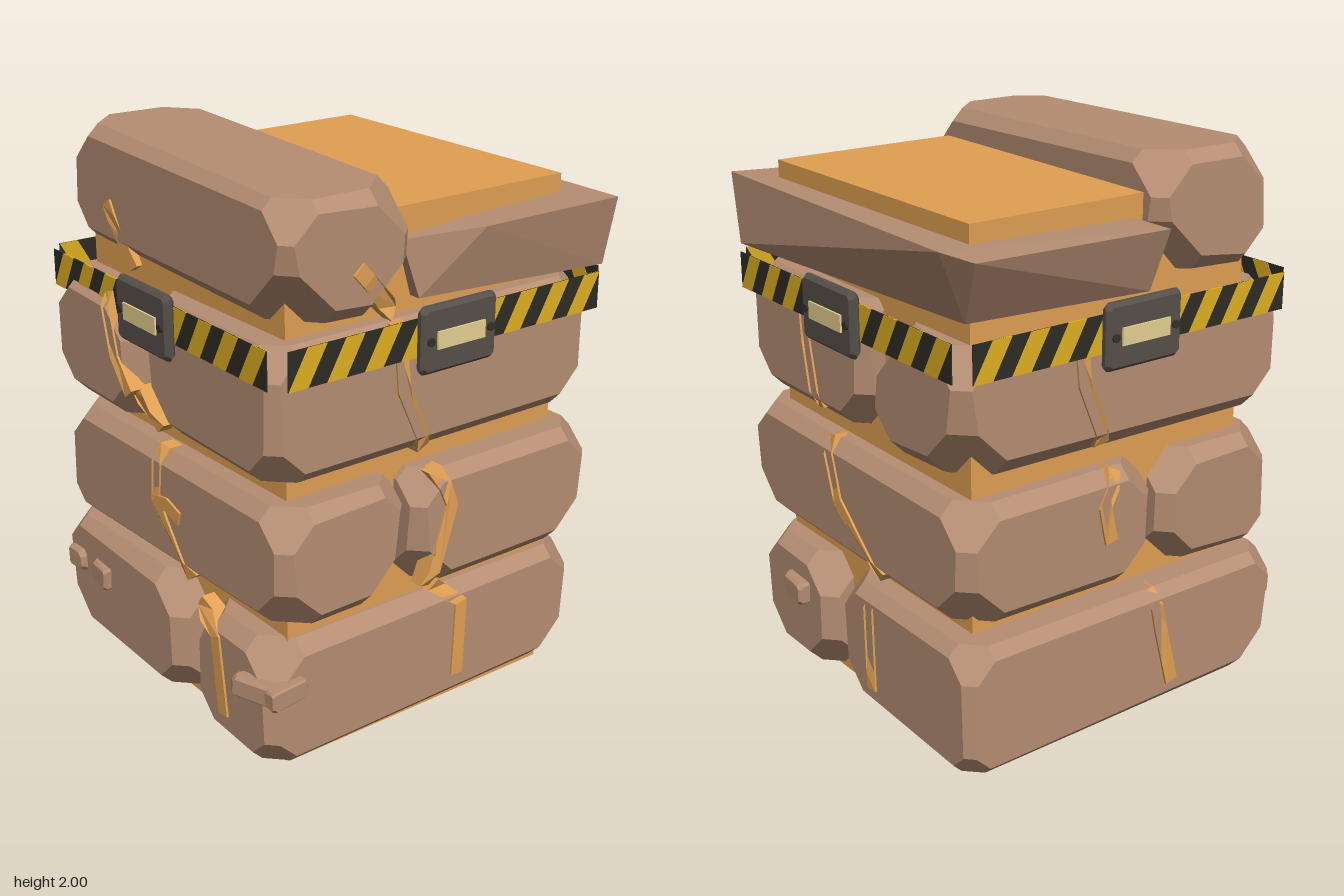
import * as THREE from 'three';
import { ConvexGeometry } from 'three/addons/geometries/ConvexGeometry.js';

const material = (name, color) => {
  const m = new THREE.MeshStandardMaterial({ color });
  m.name = name;
  return m;
};
const V = (x, y, z) => new THREE.Vector3(x, y, z);
// Heights where the brick courses begin and end
const COURSE_EDGES = [0.03, 0.49, 0.545, 0.975, 1.05, 1.5, 1.575];

export function createModel() {
  const model = new THREE.Group();
  model.name = 'brickPillar';
  const clay = material('clay brick', 0xb68e73);
  const mortar = material('ochre mortar', 0xe1a053);
  const yellow = material('warning yellow', 0xe0b022);
  const black = material('warning black', 0x2e2c25);
  const metal = material('dark metal', 0x57504a);
  const bolt = material('bolt metal', 0x35312d);
  const cream = material('cream label', 0xe6d192);

  let seed = 7;
  const rand = () => (seed = (seed * 16807) % 2147483647) / 2147483647;

  const add = (parent, name, geometry, mat, x = 0, y = 0, z = 0) => {
    const mesh = new THREE.Mesh(geometry, mat);
    mesh.name = name;
    mesh.position.set(x, y, z);
    parent.add(mesh);
    return mesh;
  };

  // Box with bevelled edges (c) and cut-off corners (k), each corner slightly different
  const chipped = (w, h, d, c, k, vary = 0) => {
    const pts = [];
    for (const sx of [-1, 1]) for (const sy of [-1, 1]) for (const sz of [-1, 1]) {
      const f = 1 + (rand() - 0.5) * vary;
      for (const [a, b, e] of [[0, c, k], [0, k, c], [c, 0, k], [k, 0, c], [c, k, 0], [k, c, 0]])
        pts.push(V(sx * (w / 2 - a * f), sy * (h / 2 - b * f), sz * (d / 2 - e * f)));
    }
    return new ConvexGeometry(pts);
  };
  const brick = (name, [x0, x1], [y0, y1], [z0, z1], { c = 0.045, k = 0.125, ry = 0, rz = 0 } = {}) => {
    const mesh = add(model, name, chipped(x1 - x0, y1 - y0, z1 - z0, c, k, 0.6), clay,
      (x0 + x1) / 2, (y0 + y1) / 2, (z0 + z1) / 2);
    mesh.rotation.set(0, ry, rz);
  };

  // Mortar core
  add(model, 'mortarCore', new THREE.BoxGeometry(1.15, 1.87, 1.15), mortar, 0, 0.935, 0);

  // Courses of bricks, alternating direction
  brick('firstCourseWideBrick', [-0.71, 0.08], [0.03, 0.495], [-0.69, 0.695]);
  brick('firstCourseNarrowBrick', [0.165, 0.635], [0.02, 0.48], [-0.69, 0.69]);
  brick('secondCourseFrontBrick', [-0.67, 0.7], [0.545, 0.97], [0.17, 0.68], { rz: 0.02 });
  brick('secondCourseBackBrick', [-0.67, 0.705], [0.54, 0.975], [-0.67, 0.135], { rz: 0.005 });
  brick('thirdCourseNarrowBrick', [-0.65, -0.11], [1.04, 1.49], [-0.67, 0.725], { c: 0.06, k: 0.15 });
  brick('thirdCourseWideBrick', [-0.09, 0.66], [1.055, 1.52], [-0.67, 0.69], { rz: 0.01 });
  brick('topFrontBrick', [-0.665, 0.685], [1.58, 1.985], [0.135, 0.625], { k: 0.15, ry: -0.035, rz: -0.02 });

  // Flared slab behind the top brick
  add(model, 'topBackSlab', new ConvexGeometry([
    V(-0.74, 1.8, -0.67), V(-0.6, 1.81, -0.705), V(0.75, 1.81, -0.67), V(0.7, 1.79, -0.13),
    V(0.6, 1.77, 0.14), V(-0.55, 1.77, 0.1), V(-0.75, 1.79, 0.08),
    V(-0.6, 1.57, -0.61), V(0.69, 1.56, -0.68), V(0.62, 1.57, 0.08), V(-0.67, 1.57, 0.07),
  ]), clay);

  // Crack: a mitred ribbon just proud of the surface at depth d, sinking over the brick bevels
  const crack = (side, d, ...points) => {
    const step = ([ax, ay], [bx, by]) => {
      const t = 0.06 / Math.hypot(bx - ax, by - ay);
      return [ax + (bx - ax) * t, ay + (by - ay) * t];
    };
    const path = [points[0], step(points[0], points[1]), ...points.slice(1, -1),
      step(points.at(-1), points.at(-2)), points.at(-1)];
    const left = [], right = [];
    path.forEach(([x, y], i) => {
      const a = path[Math.max(i - 1, 0)], b = path[Math.min(i + 1, path.length - 1)];
      const len = Math.hypot(b[0] - a[0], b[1] - a[1]);
      const nx = -(b[1] - a[1]) / len * 0.026, ny = (b[0] - a[0]) / len * 0.026;
      left.push(new THREE.Vector2(x + nx, y + ny));
      right.unshift(new THREE.Vector2(x - nx, y - ny));
    });
    const geo = new THREE.ExtrudeGeometry(new THREE.Shape([...left, ...right]), { depth: 0.05, bevelEnabled: false });
    const pos = geo.attributes.position;
    for (let i = 0; i < pos.count; i++) {
      const gap = Math.min(...COURSE_EDGES.map((e) => Math.abs(e - pos.getY(i))));
      pos.setZ(i, pos.getZ(i) - Math.max(0, 0.045 - gap));
    }
    geo.computeVertexNormals();
    add(side, 'crack', geo, mortar, 0, 0, d - 0.042);
  };

  // One side of the warning belt with its buckle
  const belt = (side) => {
    const w = 1.31, h = 0.13, y0 = 1.41, n = 9, p = w / n;
    add(side, 'beltBand', new THREE.BoxGeometry(w, h, 0.004), black, 0, y0 + h / 2, 0.7);
    const stripe = new THREE.Shape([[0, 0], [p / 2, 0], [p, h], [p / 2, h]].map(([x, y]) => new THREE.Vector2(x, y)));
    const stripeGeo = new THREE.ExtrudeGeometry(stripe, { depth: 0.008, bevelEnabled: false });
    for (let i = 0; i < n; i++) add(side, 'beltStripe', stripeGeo, yellow, -w / 2 + i * p, y0, 0.696);

    const buckle = new THREE.Group();
    buckle.name = 'buckle';
    buckle.position.set(-0.005, 1.468, 0.72);
    side.add(buckle);
    add(buckle, 'bucklePlate', chipped(0.315, 0.225, 0.04, 0.012, 0.022), metal);
    add(buckle, 'buckleLabel', new THREE.BoxGeometry(0.2, 0.06, 0.009), cream, 0, 0, 0.0225);
    for (const s of [-1, 1]) {
      const b = add(buckle, 'buckleBolt', new THREE.CylinderGeometry(0.015, 0.015, 0.012, 8), bolt, s * 0.126, 0, 0.022);
      b.rotation.x = Math.PI / 2;
    }
  };

  // Four sides, each laid out as if it were the front
  const [front, right, back, left] = ['front', 'right', 'back', 'left'].map((name, i) => {
    const side = new THREE.Group();
    side.name = name + 'Side';
    side.rotation.y = i * Math.PI / 2;
    model.add(side);
    belt(side);
    return side;
  });

  // Front cracks
  crack(front, 0.612, [-0.41, 1.75], [-0.28, 1.54]);
  crack(front, 0.725, [-0.27, 1.5], [-0.21, 1.27], [-0.12, 1.16]);
  crack(front, 0.69, [-0.14, 1.18], [-0.02, 1.05]);
  crack(front, 0.68, [-0.03, 0.98], [-0.05, 0.78], [0.13, 0.54]);
  crack(front, 0.68, [-0.05, 0.77], [0.02, 0.785], [0.1, 0.76]);
  crack(front, 0.69, [0.2, 0.49], [0.32, 0.41], [0.36, 0.12]);
  // Right cracks
  crack(right, 0.685, [-0.38, 1.74], [-0.22, 1.56]);
  crack(right, 0.66, [-0.19, 1.52], [-0.17, 1.29], [-0.06, 1.05]);
  crack(right, 0.705, [-0.04, 0.98], [0.01, 0.85], [-0.08, 0.56]);
  crack(right, 0.635, [0.02, 0.5], [0.13, 0.41], [0.12, 0.12]);
  // Back cracks
  crack(back, 0.67, [-0.28, 1.5], [-0.26, 1.3], [-0.21, 1.07]);
  crack(back, 0.67, [-0.16, 0.98], [-0.09, 0.76], [0.15, 0.55]);
  crack(back, 0.69, [0.12, 0.49], [0.13, 0.12]);
  // Left cracks
  crack(left, 0.65, [-0.2, 1.48], [-0.18, 1.3], [-0.08, 1.06]);
  crack(left, 0.67, [-0.04, 0.97], [-0.1, 0.85], [-0.07, 0.72]);
  crack(left, 0.71, [0.1, 0.49], [0.13, 0.35], [0.19, 0.12]);

  // Stone chips stuck to the lowest course
  const chip = (side, x, z, w, h, turn) => {
    const mesh = add(side, 'stoneChip', chipped(w, h, 0.06, 0.01, 0.02, 0.8), clay, x, 0.325, z);
    mesh.rotation.set(0, turn, (rand() - 0.5) * 0.1);
  };
  chip(front, -0.61, 0.69, 0.1, 0.085, 0.06);
  chip(front, -0.44, 0.69, 0.12, 0.085, -0.08);
  chip(front, 0.57, 0.69, 0.19, 0.075, 0.35);
  chip(right, -0.63, 0.64, 0.15, 0.075, 0.05);
  chip(back, -0.36, 0.7, 0.14, 0.085, -0.06);

  return model;
}
